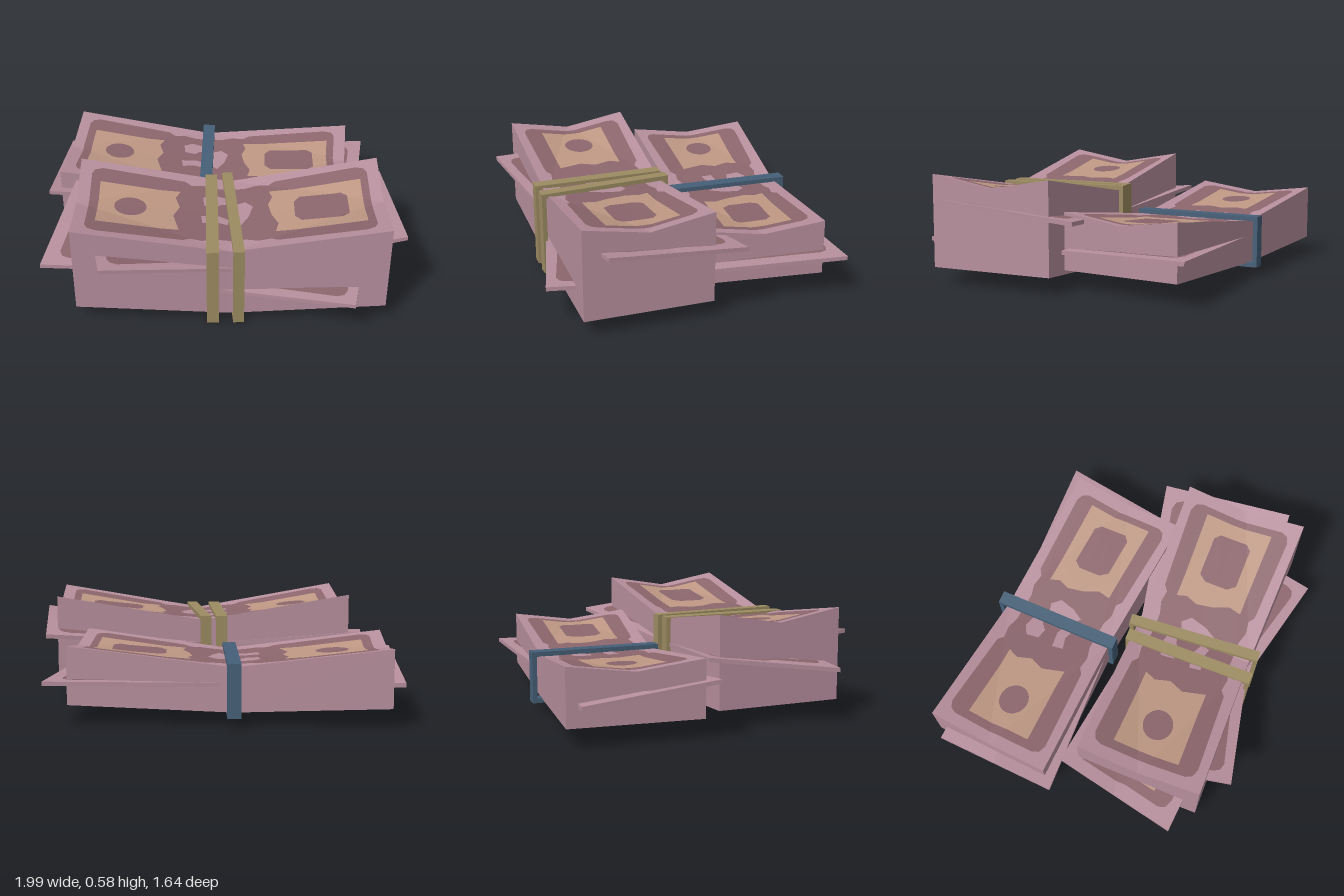
import * as THREE from 'three';

const mat = (name, color, side = THREE.FrontSide) =>
  Object.assign(new THREE.MeshStandardMaterial({ color, side }), { name });

// Eight facets of a creased note in (u, v): u runs to +x, v runs to the front
const FACETS = [];
for (const su of [-1, 1]) for (const sv of [-1, 1]) {
  const a = [[0, 0], [su, 0], [0, sv]], b = [[su, sv], [0, sv], [su, 0]];
  if (su * sv < 0) { a.reverse(); b.reverse(); }
  FACETS.push(a, b);
}

const cross = (a, b, p) => (b[0] - a[0]) * (p[1] - a[1]) - (b[1] - a[1]) * (p[0] - a[0]);

// Cut a polygon to a counter-clockwise triangle
function clip(poly, tri) {
  for (let k = 0; k < 3; k++) {
    const a = tri[k], b = tri[(k + 1) % 3], out = [];
    poly.forEach((p, i) => {
      const q = poly[(i + 1) % poly.length];
      const dp = cross(a, b, p), dq = cross(a, b, q);
      if (dp >= 0) out.push(p);
      if (dp * dq < 0) {
        const t = dp / (dp - dq);
        out.push([p[0] + (q[0] - p[0]) * t, p[1] + (q[1] - p[1]) * t]);
      }
    });
    poly = out;
  }
  return poly;
}

// Nine control points: ends and middle, each [back, centre, front]
function surface(rows, dips) {
  return rows.map(([b, f], i) => {
    const B = new THREE.Vector3(...b), F = new THREE.Vector3(...f);
    const C = B.clone().lerp(F, 0.5);
    C.y -= dips[i];
    return [B, C, F];
  });
}

function meshFrom(name, pts, material) {
  const g = new THREE.BufferGeometry().setFromPoints(pts);
  g.computeVertexNormals();
  const m = new THREE.Mesh(g, material);
  m.name = name;
  return m;
}

// Lay a flat polygon over the creased surface
function drape(name, poly, S, offset, up, material) {
  const pts = [], at = ([u, v]) => S[u + 1][v + 1];
  for (const tri of FACETS) {
    const cut = clip(poly, tri);
    if (cut.length < 3) continue;
    const area = cross(...tri), P = tri.map(at);
    const lift = (p) => {
      const w = [cross(tri[1], tri[2], p), cross(tri[2], tri[0], p), cross(tri[0], tri[1], p)];
      const r = new THREE.Vector3(0, offset, 0);
      P.forEach((q, i) => r.addScaledVector(q, w[i] / area));
      return r;
    };
    const ring = cut.map((p) => new THREE.Vector2(...p));
    for (const f of THREE.ShapeUtils.triangulateShape(ring, [])) {
      const t = f.map((i) => cut[i]);
      if ((cross(...t) < 0) !== up) t.reverse();
      pts.push(...t.map(lift));
    }
  }
  return meshFrom(name, pts, material);
}

// Printed shapes in (u, v)
const SQUARE = [[-1, -1], [1, -1], [1, 1], [-1, 1]];
const quarter = [[0.92, 0], [0.92, 0.7], [0.9, 0.8], [0.85, 0.85], [0.3, 0.82], [0.26, 0.75], [0.18, 0.78], [0.1, 0.72]];
const PANEL = [
  ...quarter, ...quarter.map(([u, v]) => [-u, v]).reverse(),
  ...quarter.slice(1).map(([u, v]) => [-u, -v]), ...quarter.slice(1).map(([u, v]) => [u, -v]).reverse(),
];
const LEFT_FRAME = [[-0.86, -0.54], [-0.33, -0.54], [-0.36, -0.35], [-0.33, -0.1], [-0.37, 0.15], [-0.33, 0.54], [-0.86, 0.54]];
const RIGHT_FRAME = [[0.87, 0.57], [0.29, 0.57], [0.31, 0.35], [0.27, 0.1], [0.25, -0.2], [0.28, -0.4], [0.26, -0.57], [0.87, -0.57]];
const DISC = Array.from({ length: 24 }, (_, i) => {
  const a = i * Math.PI / 12;
  return [-0.65 + 0.105 * Math.cos(a), 0.25 * Math.sin(a)];
});
const WINDOW = [[0.46, -0.33], [0.73, -0.33], [0.77, -0.24], [0.77, 0.24], [0.73, 0.33], [0.46, 0.33], [0.42, 0.2], [0.42, -0.2]];
const BLOTS = [
  [[-0.18, -0.42], [-0.12, -0.52], [-0.02, -0.45], [0.02, -0.3], [-0.06, -0.26], [-0.1, -0.16], [-0.17, -0.2]],
  [[0.02, -0.25], [0.1, -0.32], [0.15, -0.18], [0.12, 0.1], [0.07, 0.32], [0.02, 0.2], [0.04, 0]],
  [[-0.19, 0.1], [-0.08, 0.06], [0, 0.16], [-0.02, 0.3], [-0.1, 0.24], [-0.18, 0.3]],
];
const CRESCENT = [[0.58, -0.5], [0.7, -0.46], [0.74, -0.15], [0.73, 0.15], [0.67, 0.5], [0.55, 0.52], [0.6, 0.25], [0.62, 0], [0.6, -0.25]];

export function createModel() {
  const root = new THREE.Group();
  root.name = 'noteBundles';
  const pink = mat('pinkPaper', 0xb78f9d), mauve = mat('mauvePrint', 0x8c666d);
  const tan = mat('tanPrint', 0xbf9884), gold = mat('goldBand', 0x9d8c62), blue = mat('blueBand', 0x466078);

  // A solid paper stack or single note between two creased surfaces
  function paper(name, top, bottom, crescents = []) {
    const g = new THREE.Group();
    g.name = name;
    g.add(drape('topPaper', SQUARE, top, 0, true, pink));
    g.add(drape('bottomPaper', SQUARE, bottom, 0, false, pink));
    const ring = [[0, 0], [0, 1], [0, 2], [1, 2], [2, 2], [2, 1], [2, 0], [1, 0]];
    const walls = [];
    ring.forEach(([i, j], k) => {
      const [m, n] = ring[(k + 1) % 8];
      const a = bottom[i][j], b = bottom[m][n], c = top[m][n], d = top[i][j];
      walls.push(a, b, c, a, c, d);
    });
    g.add(meshFrom('paperEdges', walls, pink));
    // printed layers
    g.add(drape('topPanel', PANEL, top, 0.002, true, mauve));
    g.add(drape('leftFrame', LEFT_FRAME, top, 0.004, true, tan));
    g.add(drape('rightFrame', RIGHT_FRAME, top, 0.004, true, tan));
    g.add(drape('disc', DISC, top, 0.006, true, mauve));
    g.add(drape('window', WINDOW, top, 0.006, true, mauve));
    for (const b of BLOTS) g.add(drape('centreBlot', b, top, 0.004, true, pink));
    g.add(drape('bottomPanel', PANEL, bottom, -0.002, false, mauve));
    for (const s of crescents)
      g.add(drape('crescent', CRESCENT.map(([u, v]) => [u * s, v]), bottom, -0.004, false, tan));
    root.add(g);
  }

  // Stack: plan corners [x, z] back/front at left, middle, right
  function stack(name, plan, topY, bottomY, dip, crescents) {
    const rows = (ys) => plan.map((r, i) => r.map(([x, z]) => [x, ys[i], z]));
    paper(name, surface(rows(topY), [dip, 0.005, dip]), surface(rows(bottomY), [0, 0, 0]), crescents);
  }
  stack('frontStack', [[[-0.78, 0.02], [-0.73, 0.70]], [[0.04, -0.015], [0.08, 0.63]], [[0.85, -0.09], [0.90, 0.59]]],
    [0.58, 0.44, 0.58], [0.09, 0.03, 0.09], 0.06, [1]);
  stack('backStack', [[[-0.92, -0.80], [-0.94, -0.11]], [[-0.13, -0.755], [-0.1, -0.13]], [[0.71, -0.73], [0.68, -0.07]]],
    [0.40, 0.30, 0.40], [0.10, 0.07, 0.10], 0.045, [1, -1]);

  // Loose notes slipping out of the stacks: [x, y, z] back/front at left, middle, right
  function note(name, rows) {
    const low = rows.map((r) => r.map(([x, y, z]) => [x, y - 0.022, z]));
    paper(name, surface(rows, [0, 0, 0]), surface(low, [0, 0, 0]));
  }
  note('frontLooseNoteUpper', [[[-0.84, 0.38, -0.06], [-0.92, 0.30, 0.62]],
    [[0.02, 0.31, -0.01], [0.06, 0.31, 0.62]], [[0.89, 0.39, -0.25], [0.99, 0.465, 0.48]]]);
  note('frontLooseNoteLeft', [[[-0.75, 0.40, 0.16], [-0.575, 0.435, 0.82]],
    [[-0.05, 0.335, 0.02], [0.08, 0.335, 0.635]], [[0.68, 0.41, -0.02], [0.72, 0.41, 0.55]]]);
  note('frontLooseNoteRight', [[[-0.68, 0.21, 0.06], [-0.62, 0.21, 0.62]],
    [[0.1, 0.19, 0], [0.06, 0.19, 0.635]], [[0.82, 0.215, 0.07], [0.73, 0.215, 0.745]]]);
  note('backLooseNote', [[[-0.99, 0.22, -0.74], [-1.0, 0.305, -0.05]],
    [[-0.1, 0.22, -0.75], [-0.1, 0.22, -0.135]], [[0.82, 0.237, -0.82], [0.75, 0.215, -0.10]]]);

  // Bands: rectangular hoops running from back point to front point
  function band(name, [x0, z0], [x1, z1], y0, y1, width, material) {
    const h = Math.hypot(x1 - x0, z1 - z0) / 2, t = 0.025;
    const box = (P, a, b, c, d) => new P().moveTo(-a, b).lineTo(c, b).lineTo(c, d).lineTo(-a, d).closePath();
    const shape = box(THREE.Shape, h, y0, h, y1);
    shape.holes.push(box(THREE.Path, h - t, y0 + t, h - t, y1 - t));
    const g = new THREE.ExtrudeGeometry(shape, { depth: width, bevelEnabled: false });
    g.translate(0, 0, -width / 2).rotateY(-Math.PI / 2);
    const m = new THREE.Mesh(g, material);
    m.name = name;
    m.position.set((x0 + x1) / 2, 0, (z0 + z1) / 2);
    m.rotation.y = Math.atan2(x1 - x0, z1 - z0);
    root.add(m);
  }
  band('leftGoldBand', [-0.065, -0.038], [-0.008, 0.68], 0, 0.465, 0.065, gold);
  band('rightGoldBand', [0.022, -0.06], [0.127, 0.668], 0, 0.467, 0.058, gold);
  band('blueBand', [-0.132, -0.808], [-0.105, -0.1], 0.05, 0.327, 0.07, blue);
  return root;
}
